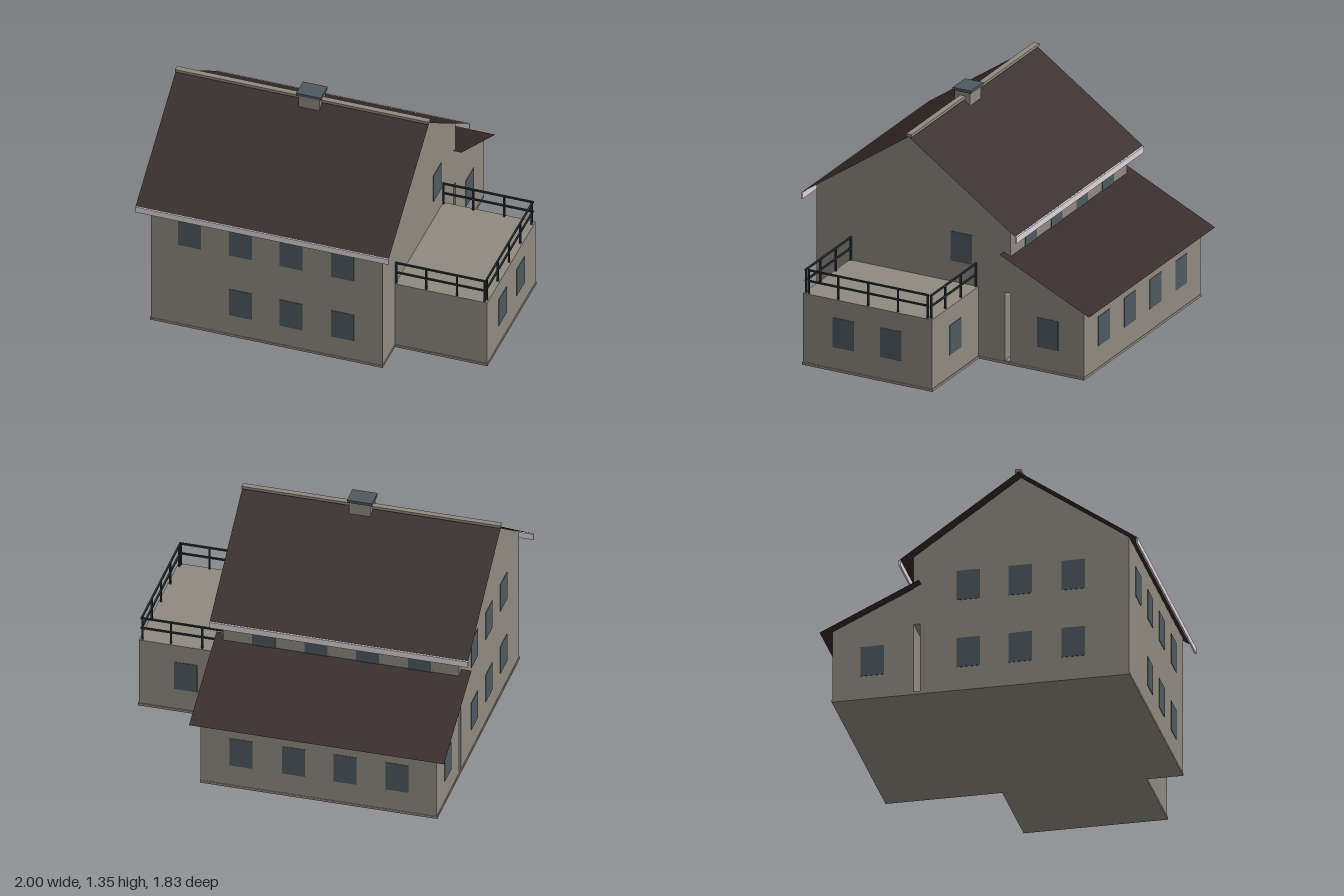
import * as THREE from 'three';

export function createModel() {
  const house = new THREE.Group();
  house.name = 'house';

  const paint = (name, color, extra = {}) => {
    const m = new THREE.MeshStandardMaterial({ color, ...extra });
    m.name = name;
    return m;
  };
  const plaster = paint('plaster', 0x8f8a80);
  const roofing = paint('roofing', 0x352828, { side: THREE.DoubleSide });
  const glass = paint('glass', 0x4e595f);
  const iron = paint('iron', 0x2b3135);
  const trim = paint('trim', 0xdcd4d8);

  const add = (name, geometry, material, parent = house) => {
    const mesh = new THREE.Mesh(geometry, material);
    mesh.name = name;
    parent.add(mesh);
    return mesh;
  };
  // Box given by its limits on each axis
  const box = (name, [x0, x1], [y0, y1], [z0, z1], material, parent) => {
    const mesh = add(name, new THREE.BoxGeometry(x1 - x0, y1 - y0, z1 - z0), material, parent);
    mesh.position.set((x0 + x1) / 2, (y0 + y1) / 2, (z0 + z1) / 2);
    return mesh;
  };

  // Main block and lean-to: side profile (z, y) with the narrow passage cut through
  const profile = new THREE.Shape([
    [0.85, 0], [0.85, 0.85], [0.23, 1.28], [-0.388, 0.85],
    [-0.388, 0.655], [-0.855, 0.435], [-0.855, 0],
  ].map(([z, y]) => new THREE.Vector2(z, y)));
  profile.holes.push(new THREE.Path([
    [-0.352, 0.02], [-0.388, 0.02], [-0.388, 0.435], [-0.352, 0.435],
  ].map(([z, y]) => new THREE.Vector2(z, y))));
  const walls = add('walls', new THREE.ExtrudeGeometry(profile, { depth: 1.375, bevelEnabled: false }), plaster);
  walls.rotation.y = -Math.PI / 2;
  walls.position.x = 0.445;
  box('plinth', [-0.935, 0.448], [0, 0.015], [-0.858, 0.853], plaster);

  // Terrace block
  box('terrace', [0.44, 0.993], [0.001, 0.435], [-0.183, 0.637], plaster);
  box('terracePlinth', [0.44, 0.997], [0, 0.015], [-0.188, 0.642], plaster);

  // Thin roof slopes from an upper edge to a lower edge
  const slope = (name, x0, x1, [zTop, yTop], [zLow, yLow]) => {
    const g = new THREE.BufferGeometry();
    g.setAttribute('position', new THREE.Float32BufferAttribute([
      x0, yTop, zTop, x0, yLow, zLow, x1, yLow, zLow, x1, yTop, zTop,
    ], 3));
    g.setIndex(zLow > zTop ? [0, 1, 2, 0, 2, 3] : [0, 2, 1, 0, 3, 2]);
    g.computeVertexNormals();
    add(name, g, roofing);
  };
  slope('frontRoof', -1, 0.505, [0.23, 1.285], [0.91, 0.812]);
  slope('backRoof', -1, 0.505, [0.23, 1.285], [-0.45, 0.812]);
  slope('leanToRoof', -0.99, 0.495, [-0.345, 0.68], [-0.915, 0.411]);
  box('ridgeCap', [-1, 0.505], [1.285, 1.302], [0.21, 0.245], plaster);
  box('frontGutter', [-1, 0.505], [0.773, 0.81], [0.905, 0.915], trim);
  box('backGutter', [-1, 0.505], [0.773, 0.81], [-0.458, -0.448], trim);

  // Chimney
  box('chimney', [-0.255, -0.13], [1.2, 1.328], [0.18, 0.28], plaster);
  box('chimneyCap', [-0.266, -0.119], [1.328, 1.345], [0.17, 0.286], glass);

  // Windows: thin plates on walls facing z or x
  const lower = 0.235, upper = 0.65;
  const windowOn = (axis, wall, along, y) => {
    const size = axis === 'z' ? [0.135, 0.18, 0.006] : [0.006, 0.18, 0.135];
    const pane = add('window', new THREE.BoxGeometry(...size), glass);
    pane.position.set(axis === 'z' ? along : wall, y, axis === 'z' ? wall : along);
  };
  [-0.7, -0.397, -0.097, 0.208].forEach((x, i) => {
    windowOn('z', 0.85, x, upper);
    if (i > 0) windowOn('z', 0.85, x, lower);
    windowOn('z', -0.388, x, upper);
    windowOn('z', -0.855, x, lower);
  });
  for (const z of [-0.075, 0.225, 0.53]) {
    windowOn('x', -0.93, z, upper);
    windowOn('x', -0.93, z, lower);
  }
  windowOn('x', -0.93, -0.625, lower);
  windowOn('x', 0.445, -0.625, lower);
  windowOn('x', 0.445, -0.075, upper);
  windowOn('x', 0.993, 0.38, lower);
  windowOn('x', 0.993, 0.078, lower);
  windowOn('z', -0.183, 0.72, lower);

  // Terrace railing: two rails and posts on three sides
  const railing = new THREE.Group();
  railing.name = 'railing';
  house.add(railing);
  const t = 0.005;
  const around = (c) => [c - t, c + t];
  const post = (x, z) => box('post', around(x), [0.43, 0.58], around(z), iron, railing);
  for (const y of [0.51, 0.575]) {
    for (const z of [0.627, -0.17]) box('rail', [0.44, 0.985], around(y), around(z), iron, railing);
    box('rail', around(0.98), around(y), [-0.15, 0.61], iron, railing);
  }
  for (const z of [0.627, -0.17]) for (const x of [0.45, 0.627, 0.81, 0.975]) post(x, z);
  for (const z of [0.607, 0.42, 0.23, 0.04, -0.15]) post(0.98, z);

  return house;
}
